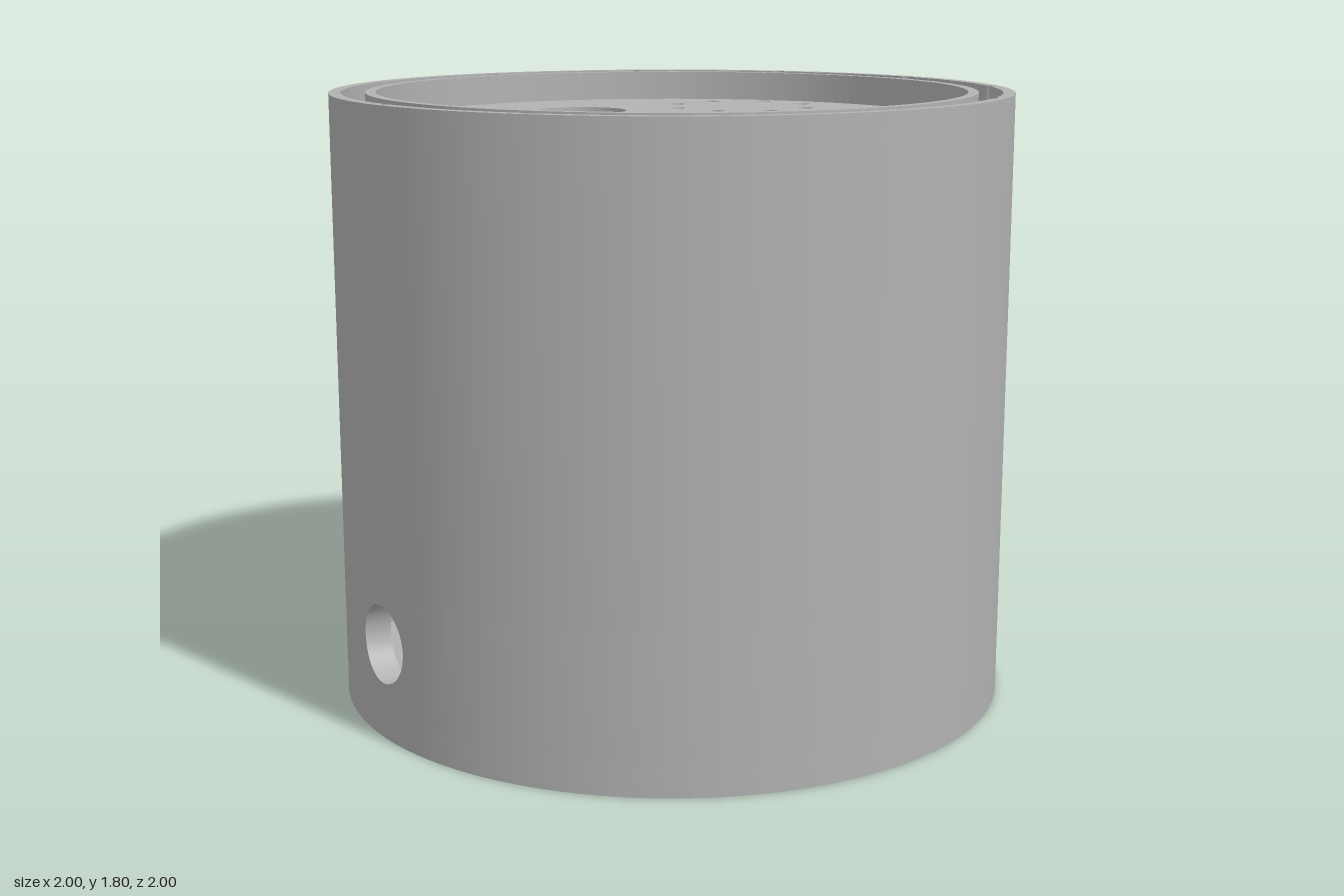
import * as THREE from 'three';
import { toCreasedNormals } from 'three/addons/utils/BufferGeometryUtils.js';

export function createModel() {
  const group = new THREE.Group();
  const grey = new THREE.MeshStandardMaterial({ color: 0xb2b2b2 });
  grey.name = 'machined grey';

  const add = (name, geometry) => {
    const mesh = new THREE.Mesh(geometry, grey);
    mesh.name = name;
    group.add(mesh);
  };

  // Ring turned from a closed profile of [radius, y], outer side first, going up
  const turned = (name, profile, start = 0, length = Math.PI * 2) => {
    const points = [...profile, profile[0]].map(([r, y]) => new THREE.Vector2(r, y));
    const segments = Math.round(128 * length / (Math.PI * 2));
    add(name, toCreasedNormals(new THREE.LatheGeometry(points, segments, start, length), 0.6));
  };
  const ring = (name, inner, outer, y0, y1, start, length) =>
    turned(name, [[outer, y0], [outer, y1], [inner, y1], [inner, y0]], start, length);

  // Flat plate: a disc with cut paths, standing between two heights
  const circle = (x, z, r) => new THREE.Path().absarc(x, -z, r, 0, Math.PI * 2, true);
  const plate = (name, radius, y0, y1, holes) => {
    const shape = new THREE.Shape().absarc(0, 0, radius, 0, Math.PI * 2, false);
    shape.holes.push(...holes);
    const geometry = new THREE.ExtrudeGeometry(shape, { depth: y1 - y0, bevelEnabled: false, curveSegments: 48 });
    geometry.rotateX(-Math.PI / 2).translate(0, y0, 0);
    add(name, toCreasedNormals(geometry, 0.6));
  };
  const polar = (r, degrees) => {
    const a = degrees * Math.PI / 180;
    return [r * Math.cos(a), r * Math.sin(a)];
  };

  // Main body: outer skin, screw groove and inner lip
  turned('bodyShell', [
    [1, 0.455], [1, 1.8], [0.985, 1.8], [0.985, 1.4],
    [0.895, 1.4], [0.895, 1.8], [0.865, 1.8], [0.865, 0.455],
  ]);

  // Groove floor with twelve screw holes
  const screwHoles = [];
  for (let i = 0; i < 12; i++) screwHoles.push(circle(...polar(0.955, i * 30), 0.023));
  plate('screwLedge', 0.985, 1.4, 1.61, [circle(0, 0, 0.895), ...screwHoles]);

  // Rim wall, notched where the screw holes bite into it
  const notched = [];
  for (let i = 0; i < 12; i++) {
    const centre = i * Math.PI / 6;
    for (let j = -6; j <= 6; j++) {
      const d = j * 0.0036;
      const reach = 0.955 * Math.cos(d) + Math.sqrt(Math.max(0, 0.023 ** 2 - (0.955 * Math.sin(d)) ** 2));
      const r = Math.max(0.965, reach);
      notched.push(new THREE.Vector2(r * Math.cos(centre + d), r * Math.sin(centre + d)));
    }
    for (let j = 1; j < 10; j++) {
      const a = centre + j * Math.PI / 60;
      notched.push(new THREE.Vector2(0.965 * Math.cos(a), 0.965 * Math.sin(a)));
    }
  }
  plate('rimWall', 0.985, 1.61, 1.8, [new THREE.Path(notched.reverse())]);

  // Top plate: centre bore, three large holes, three rings of eight small holes
  const topHoles = [circle(0, 0, 0.108)];
  for (let k = 0; k < 3; k++) {
    topHoles.push(circle(...polar(0.455, k * 120), 0.137));
    const [cx, cz] = polar(0.59, 60 + k * 120);
    for (let i = 0; i < 8; i++) {
      const [dx, dz] = polar(0.22, 60 + k * 120 + i * 45);
      topHoles.push(circle(cx + dx, cz + dz, 0.024));
    }
  }
  plate('topPlate', 0.87, 1.62, 1.71, topHoles);
  ring('centreBushing', 0.1, 0.15, 1.5, 1.62);

  // Lower plate, with a stepped bore in the middle
  plate('lowerPlate', 0.93, 0.455, 0.6, [
    circle(0, 0, 0.1),
    circle(...polar(0.58, -30), 0.275),
    circle(...polar(0.58, 150), 0.137),
  ]);
  ring('boreStep', 0.04, 0.105, 0.54, 0.59);

  // Base: bottom lip and the wall, left open around the cable hole
  const port = Math.atan2(-0.893, 0.45), half = 0.3;
  const low = 0.09, high = 0.455, portY = 0.28, portR = 0.115;
  ring('baseLip', 0.813, 1, 0, low);
  ring('baseWall', 0.92, 1, low, high, port + half, Math.PI * 2 - 2 * half);

  // Lofts rows of points around the cable hole into a surface
  const N = 64;
  const loft = (name, rows, pointAt) => {
    const position = [], index = [];
    for (let v = 0; v <= rows; v++) {
      for (let u = 0; u < N; u++) position.push(...pointAt(u * Math.PI * 2 / N, v / rows));
    }
    for (let v = 0; v < rows; v++) {
      for (let u = 0; u < N; u++) {
        const a = v * N + u, b = v * N + (u + 1) % N;
        index.push(a, a + N, b, b, a + N, b + N);
      }
    }
    const geometry = new THREE.BufferGeometry();
    geometry.setAttribute('position', new THREE.Float32BufferAttribute(position, 3));
    geometry.setIndex(index);
    geometry.computeVertexNormals();
    add(name, geometry);
  };
  const onWall = (r, angle, y) => [r * Math.sin(port + angle), y, r * Math.cos(port + angle)];
  const wallPatch = (r, t, f) => {
    const c = Math.cos(t), s = Math.sin(t), m = Math.max(Math.abs(c), Math.abs(s));
    const holeA = Math.asin(portR * c / r), holeY = portY + portR * s;
    const edgeA = half * c / m;
    const edgeY = (low + high) / 2 + (high - low) / 2 * s / m;
    return onWall(r, holeA + (edgeA - holeA) * f, holeY + (edgeY - holeY) * f);
  };
  loft('portOuterFace', 8, (t, f) => wallPatch(1, t, f));
  loft('portInnerFace', 8, (t, f) => wallPatch(0.92, t, 1 - f));
  loft('portBore', 1, (t, f) => wallPatch(0.92 + 0.08 * f, t, 0));

  return group;
}
